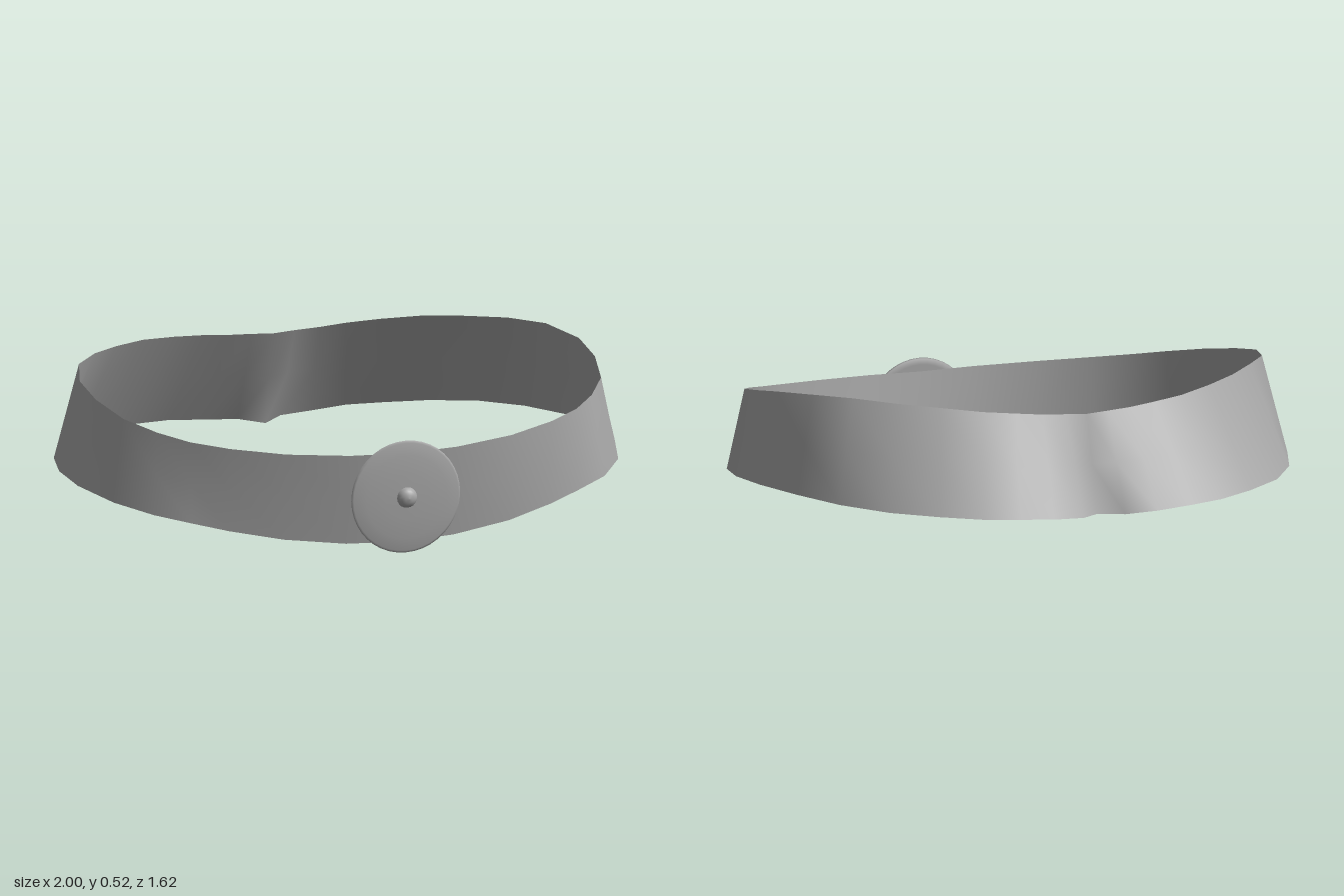
import * as THREE from 'three';

// Half of the band, front centre to back centre:
// [top x, y, z, bottom x, y, z]
const STATIONS = [
  [0, .36, .755, 0, .03, .715],
  [.2, .365, .745, .2, .035, .70],
  [.42, .375, .69, .42, .06, .665],
  [.6, .39, .605, .6, .09, .6],
  [.72, .405, .525, .72, .115, .545],
  [.81, .425, .43, .84, .14, .48],
  [.89, .45, .30, .94, .16, .34],
  [.93, .48, .12, 1, .175, .13],
  [.93, .505, -.05, 1, .18, -.07],
  [.87, .52, -.23, .95, .175, -.27],
  [.77, .52, -.35, .87, .165, -.46],
  [.65, .51, -.46, .75, .155, -.62],
  [.52, .5, -.55, .6, .145, -.72],
  [.385, .485, -.61, .46, .135, -.78],
  [.27, .475, -.635, .33, .13, -.81],
  [.17, .465, -.645, .2, .12, -.81],
  [.08, .46, -.65, .08, .115, -.8],
  [0, .455, -.65, 0, .11, -.73],
];

// Closed strip with three rows: top edge, middle, bottom edge
function bandGeometry() {
  const mirrored = STATIONS.slice(1, -1).reverse()
    .map(([a, b, c, d, e, f]) => [-a, b, c, -d, e, f]);
  const columns = [...STATIONS, ...mirrored];
  const positions = [];
  const index = [];
  columns.forEach((s, i) => {
    const top = new THREE.Vector3(...s.slice(0, 3));
    const bottom = new THREE.Vector3(...s.slice(3));
    const middle = top.clone().lerp(bottom, 0.5);
    // pinch at the back seam
    if (i === STATIONS.length - 1) middle.set(0, .28, -.695);
    for (const p of [top, middle, bottom]) positions.push(p.x, p.y, p.z);
    const next = (i + 1) % columns.length;
    for (let r = 0; r < 2; r++) {
      const a = i * 3 + r, b = next * 3 + r;
      index.push(a + 1, b + 1, a, b + 1, b, a);
    }
  });
  const geometry = new THREE.BufferGeometry();
  geometry.setAttribute('position', new THREE.Float32BufferAttribute(positions, 3));
  geometry.setIndex(index);
  geometry.computeVertexNormals();
  return geometry;
}

export function createModel() {
  const group = new THREE.Group();
  const grey = new THREE.MeshStandardMaterial({ color: 0xa6a6a6, side: THREE.DoubleSide });
  grey.name = 'grey';

  const band = new THREE.Mesh(bandGeometry(), grey);
  band.name = 'beltBand';
  group.add(band);

  // Round buckle: shallow dished disc with a rim
  const buckle = new THREE.Group();
  buckle.name = 'buckle';
  buckle.position.set(0, .205, .755);
  buckle.rotation.x = Math.PI / 2;
  const lathe = (name, profile, segments) => {
    const points = profile.map(([r, h]) => new THREE.Vector2(r, h));
    const mesh = new THREE.Mesh(new THREE.LatheGeometry(points, segments), grey);
    mesh.name = name;
    buckle.add(mesh);
  };
  lathe('buckleDisc', [[0, 0], [.18, 0], [.2, .004], [.203, .008], [.195, .012], [.15, .018], [.08, .022], [0, .023]], 40);
  // Small knob in the centre
  lathe('buckleKnob', [[.038, .02], [.034, .032], [.026, .042], [.014, .048], [0, .05]], 20);
  group.add(buckle);

  return group;
}
